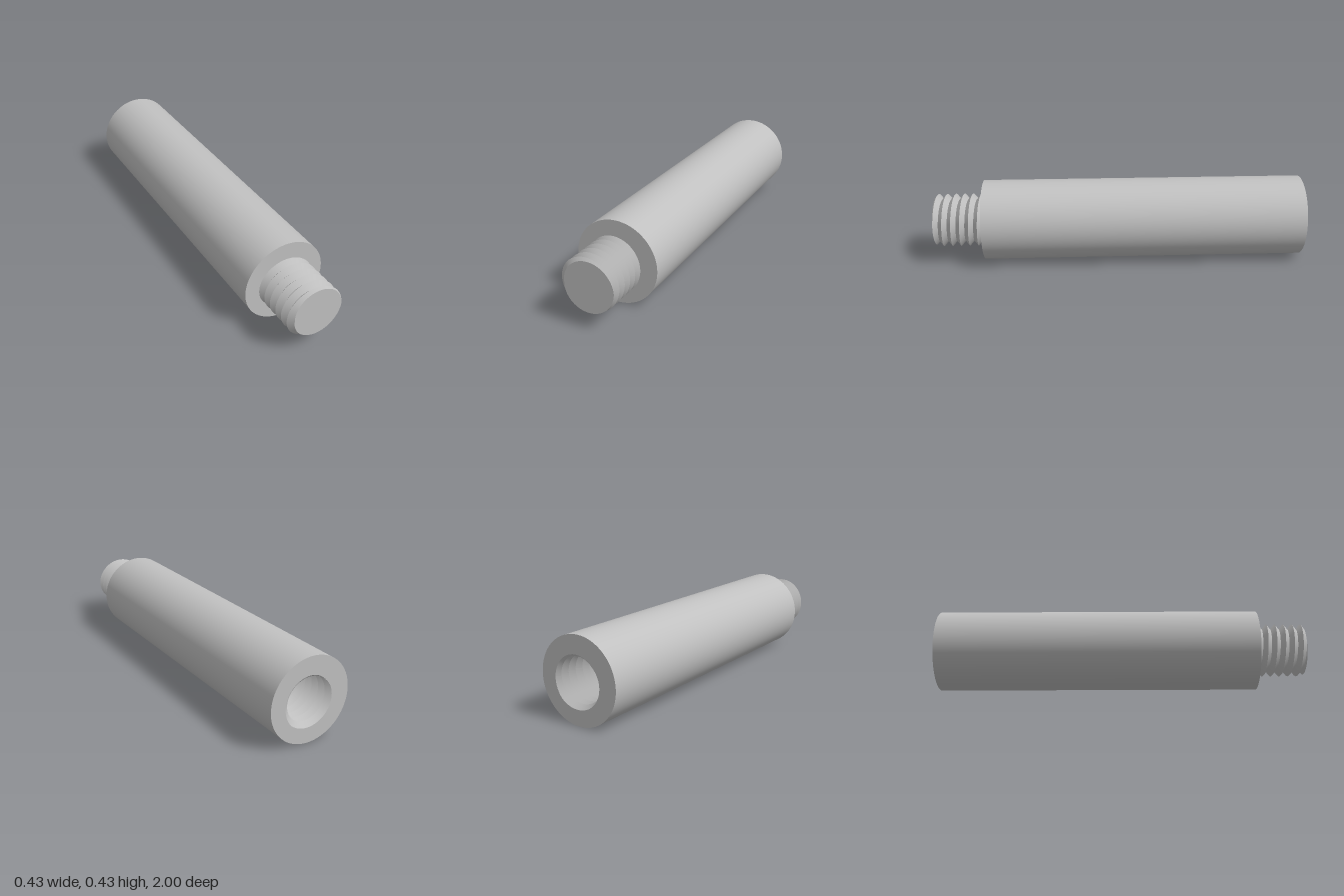
import * as THREE from 'three';

const TAU = Math.PI * 2;
const SEGMENTS = 96;
const BODY_RADIUS = 0.217, BODY_FRONT = 0.735, BODY_BACK = -1;
const CREST = 0.144, ROOT = 0.116, PITCH = 0.047;
const HOLE_FLOOR = -0.68;

// V-shaped thread radius at an angle and depth; zRef is where a crest crosses angle 0
function threadRadius(angle, z, zRef) {
  const u = (zRef - z) / PITCH - angle / TAU;
  return CREST - (CREST - ROOT) * 2 * Math.abs(u - Math.round(u));
}

// Helical flanks clipped between z0 and z1; each flank has its own vertices so crests stay sharp
function threadGeometry(z0, z1, zRef, inward) {
  const pos = [], index = [];
  const first = 2 * (Math.floor((zRef - z1) / PITCH) - 1);
  const last = 2 * Math.ceil((zRef - z0) / PITCH);
  for (let k = first; k < last; k++) {
    const base = pos.length / 3;
    for (let i = 0; i <= SEGMENTS; i++) {
      const angle = (i / SEGMENTS) * TAU;
      for (const u of [k / 2, (k + 1) / 2]) {
        const z = THREE.MathUtils.clamp(zRef - PITCH * (u + angle / TAU), z0, z1);
        const r = threadRadius(angle, z, zRef);
        pos.push(r * Math.cos(angle), r * Math.sin(angle), z);
      }
    }
    for (let i = 0; i < SEGMENTS; i++) {
      const a = base + 2 * i, b = a + 1, a2 = a + 2, b2 = a + 3;
      if (inward) index.push(b, a, b2, b2, a, a2);
      else index.push(b, b2, a, b2, a2, a);
    }
  }
  const geometry = new THREE.BufferGeometry();
  geometry.setAttribute('position', new THREE.Float32BufferAttribute(pos, 3));
  geometry.setIndex(index);
  geometry.computeVertexNormals();
  return geometry;
}

// Outline of the thread where a flat plane cuts it
function threadOutline(z, zRef, mirror = 1) {
  return Array.from({ length: SEGMENTS }, (_, i) => {
    const angle = (i / SEGMENTS) * TAU;
    const r = threadRadius(angle, z, zRef);
    return new THREE.Vector2(mirror * r * Math.cos(angle), r * Math.sin(angle));
  });
}

export function createModel() {
  const steel = new THREE.MeshStandardMaterial({ color: 0xc0c0c0 });
  steel.name = 'grey steel';
  const model = new THREE.Group();
  model.name = 'threadedStandoff';

  function add(name, geometry, z = 0) {
    const mesh = new THREE.Mesh(geometry, steel);
    mesh.name = name;
    mesh.position.set(0, BODY_RADIUS, z);
    model.add(mesh);
  }

  // Plain round body and its front shoulder
  const length = BODY_FRONT - BODY_BACK;
  add('body', new THREE.CylinderGeometry(BODY_RADIUS, BODY_RADIUS, length, SEGMENTS, 1, true)
    .rotateX(Math.PI / 2), (BODY_FRONT + BODY_BACK) / 2);
  add('shoulder', new THREE.CircleGeometry(BODY_RADIUS, SEGMENTS), BODY_FRONT);

  // Threaded stud with a flat end
  const studRef = 1;
  add('studThread', threadGeometry(BODY_FRONT, 1, studRef, false));
  add('studEnd', new THREE.ShapeGeometry(new THREE.Shape(threadOutline(1, studRef))), 1);

  // Threaded blind hole in the back
  const holeRef = BODY_BACK - PITCH / 8;
  add('holeThread', threadGeometry(BODY_BACK, HOLE_FLOOR, holeRef, true));
  add('holeFloor', new THREE.CircleGeometry(CREST, SEGMENTS).rotateY(Math.PI), HOLE_FLOOR);

  // Back face around the hole, mirrored in x because it is turned to face backwards
  const rim = new THREE.Shape().absarc(0, 0, BODY_RADIUS, 0, TAU, false);
  rim.holes.push(new THREE.Path(threadOutline(BODY_BACK, holeRef, -1)));
  add('backFace', new THREE.ShapeGeometry(rim, SEGMENTS).rotateY(Math.PI), BODY_BACK);

  return model;
}
